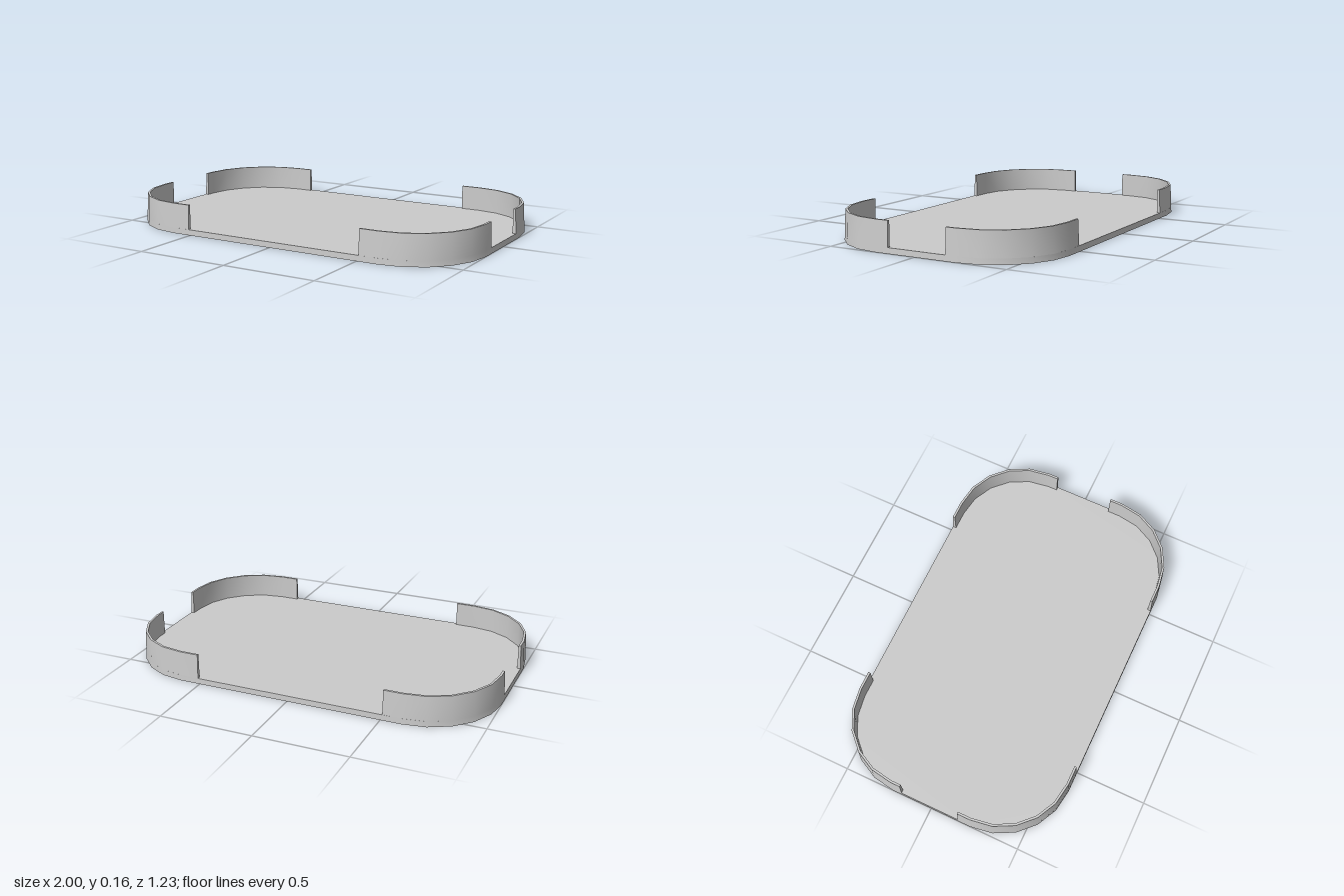
import * as THREE from 'three';
import { toCreasedNormals } from 'three/addons/utils/BufferGeometryUtils.js';

const HX = 1, HZ = 0.617, R = 0.39, SEGMENTS = 5;
const FLOOR_Y = 0.03, TOP_Y = 0.16;
const material = new THREE.MeshStandardMaterial({ color: 0xcccccc });

// Corner arc of the tray outline in the +x/+z quadrant, from the front round to the side
function cornerArc(inset) {
  const points = [];
  for (let i = 0; i <= SEGMENTS; i++) {
    const a = (i / SEGMENTS) * Math.PI / 2;
    points.push([HX - R + (R - inset) * Math.sin(a), HZ - R + (R - inset) * Math.cos(a)]);
  }
  return points;
}

// Flat floor plate, its rim leaning in very slightly like the walls
function floorGeometry() {
  const outline = [];
  for (const [sx, sz] of [[1, 1], [1, -1], [-1, -1], [-1, 1]]) {
    const arc = cornerArc(0).map(([x, z]) => new THREE.Vector2(x * sx, z * sz));
    outline.push(...(sx * sz > 0 ? arc : arc.reverse()));
  }
  const geometry = new THREE.ExtrudeGeometry(new THREE.Shape(outline), { depth: FLOOR_Y, bevelEnabled: false });
  geometry.rotateX(-Math.PI / 2);
  const pos = geometry.attributes.position;
  for (let i = 0; i < pos.count; i++) {
    if (pos.getY(i) > FLOOR_Y / 2) pos.setXYZ(i, pos.getX(i) * 0.9985, FLOOR_Y, pos.getZ(i) * 0.9985);
  }
  return toCreasedNormals(geometry, 0.6);
}

// Thin wall swept round one corner: outer face leans in, inner face is upright
function wallGeometry(sx, sz, endX, endZ) {
  const section = [[0.0015, FLOOR_Y], [0.008, TOP_Y], [0.02, TOP_Y], [0.02, FLOOR_Y]];
  const rails = section.map(([inset, y]) =>
    [[endX, HZ - inset], ...cornerArc(inset), [HX - inset, endZ]].map(([x, z]) => [x * sx, y, z * sz]));
  const positions = [];
  const quad = (a, b, c, d) => {
    const corners = sx * sz > 0 ? [a, b, c, a, c, d] : [a, c, b, a, d, c];
    corners.forEach((p) => positions.push(...p));
  };
  const last = rails[0].length - 1;
  for (let k = 0; k < 3; k++) {
    for (let i = 0; i < last; i++) {
      quad(rails[k][i], rails[k][i + 1], rails[k + 1][i + 1], rails[k + 1][i]);
    }
  }
  // End faces
  quad(...rails.map((r) => r[0]));
  quad(...rails.map((r) => r[last]).reverse());
  const geometry = new THREE.BufferGeometry();
  geometry.setAttribute('position', new THREE.Float32BufferAttribute(positions, 3));
  return toCreasedNormals(geometry, 0.6);
}

export function createModel() {
  const tray = new THREE.Group();
  tray.name = 'tray';

  const add = (name, geometry) => {
    const mesh = new THREE.Mesh(geometry, material);
    mesh.name = name;
    tray.add(mesh);
  };

  add('floor', floorGeometry());

  // Four corner walls; the front pair reaches a little further along the sides
  for (const [sz, end, endZ] of [[1, 'front', 0.155], [-1, 'back', 0.173]]) {
    for (const [sx, side] of [[1, 'Left'], [-1, 'Right']]) {
      add(`${end}${side}CornerWall`, wallGeometry(sx, sz, 0.51, endZ));
    }
  }
  return tray;
}
